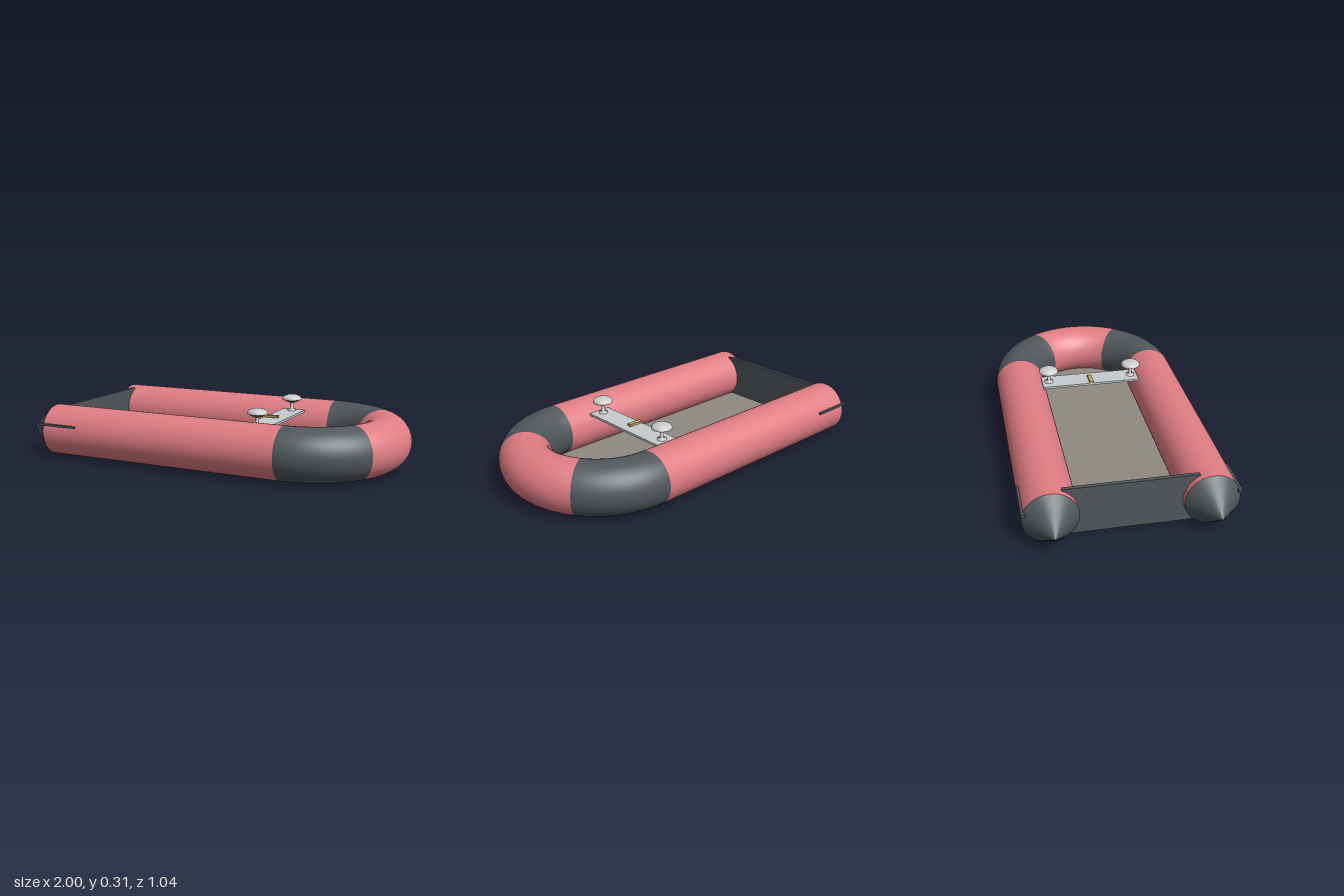
import * as THREE from 'three';

const R = 0.135;      // tube radius
const Z = 0.382;      // tube centreline offset, also the bow bend radius
const BOW = 0.482;    // where the straight tubes meet the bow
const STERN = -0.843; // where the straight tubes meet the cones

const mat = (color) => new THREE.MeshStandardMaterial({ color });
const red = mat(0xe07d84), dark = mat(0x50575b), board = mat(0xc6cbce);
const floorGrey = mat(0x8f8a83), metal = mat(0xcccccc), brass = mat(0xb9a163);

export function createModel() {
  const group = new THREE.Group();
  const add = (name, geometry, material, x = 0, y = 0, z = 0) => {
    const mesh = new THREE.Mesh(geometry, material);
    mesh.name = name;
    mesh.position.set(x, y, z);
    group.add(mesh);
    return mesh;
  };
  const box = (name, size, material, x, y, z) =>
    add(name, new THREE.BoxGeometry(...size), material, x, y, z);

  // Bow bend in three coloured sections
  const split = THREE.MathUtils.degToRad(35.5);
  const bow = (name, from, to, material) => {
    const g = new THREE.TorusGeometry(Z, R, 48, 32, to - from);
    g.rotateZ(from).rotateX(Math.PI / 2);
    add(name, g, material, BOW, R, 0);
  };
  bow('bowSectionBack', -Math.PI / 2, -split, dark);
  bow('bowSectionMiddle', -split, split, red);
  bow('bowSectionFront', split, Math.PI / 2, dark);

  for (const s of [-1, 1]) {
    const side = s > 0 ? 'Front' : 'Back';

    // Straight side tube and its stern cone
    const len = BOW - STERN;
    add('sideTube' + side, new THREE.CylinderGeometry(R, R, len, 48, 1, true).rotateZ(Math.PI / 2),
      red, (BOW + STERN) / 2, R, s * Z);
    const coneLen = 1 + STERN;
    add('sternCone' + side, new THREE.ConeGeometry(R, coneLen, 48).rotateZ(Math.PI / 2),
      dark, STERN - coneLen / 2, R, s * Z);

    // Thin rod along the outer side with a small end stop
    box('sideRod' + side, [0.225, 0.011, 0.014], dark, -0.752, 0.181, s * 0.511);
    box('rodStop' + side, [0.016, 0.016, 0.02], dark, -0.857, 0.181, s * 0.508);

    // Mushroom knob: foot and stem, flared underside, domed cap
    const lathe = (name, pts, material) => add(name + side,
      new THREE.LatheGeometry(pts.map((p) => new THREE.Vector2(...p)), 32), material, 0.283, 0, s * 0.235);
    lathe('knobStem', [[0.024, 0.222], [0.024, 0.23], [0.009, 0.232], [0.009, 0.272]], metal);
    lathe('knobUnderside', [[0.009, 0.27], [0.02, 0.271], [0.053, 0.286]], dark);
    const cap = [[0.053, 0.286], [0.053, 0.291]];
    for (let i = 1; i <= 8; i++) {
      const a = (i / 8) * Math.PI / 2;
      cap.push([i === 8 ? 0 : 0.053 * Math.cos(a), 0.291 + 0.023 * Math.sin(a)]);
    }
    lathe('knobCap', cap, metal);
  }

  // Floor with a rounded bow end
  const w = 0.35;
  const outline = new THREE.Shape();
  outline.moveTo(-0.81, -w);
  outline.lineTo(BOW, -w);
  outline.absarc(BOW, 0, w, -Math.PI / 2, Math.PI / 2, false);
  outline.lineTo(-0.81, w);
  outline.closePath();
  const floor = new THREE.ExtrudeGeometry(outline, { depth: 0.025, bevelEnabled: false, curveSegments: 32 });
  add('floor', floor.rotateX(-Math.PI / 2), floorGrey, 0, 0.01, 0);

  // Transom, bench and the bench latch
  box('transom', [0.02, 0.25, 0.65], dark, -0.802, 0.138, 0);
  box('bench', [0.125, 0.012, 0.545], board, 0.283, 0.218, 0);
  box('benchLatch', [0.08, 0.012, 0.024], brass, 0.26, 0.23, 0);

  return group;
}
